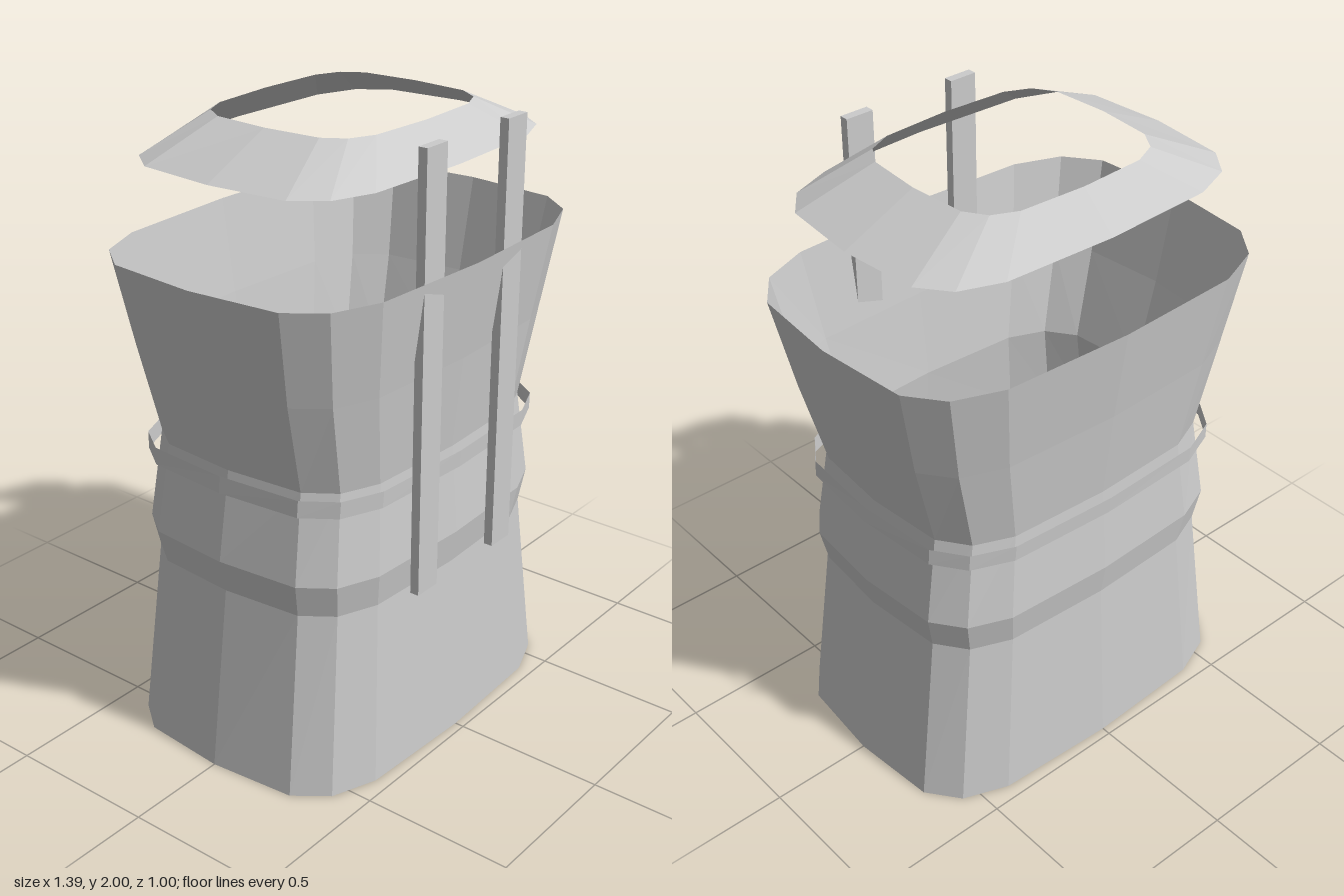
import * as THREE from 'three';

const SIDES = 16;
const material = new THREE.MeshStandardMaterial({ color: 0xcccccc, flatShading: true, side: THREE.DoubleSide });

// Rounded-rectangle (superellipse) point on a ring
function ringPoint(angle, rx, rz) {
  const c = Math.cos(angle), s = Math.sin(angle);
  return [
    rx * Math.sign(c) * Math.sqrt(Math.abs(c)),
    rz * Math.sign(s) * Math.sqrt(Math.abs(s)),
  ];
}

// Open shell through rings given as [y, rx, rz], bottom to top
function shell(name, rings) {
  const positions = [], index = [];
  for (const [y, rx, rz] of rings) {
    for (let i = 0; i < SIDES; i++) {
      const [x, z] = ringPoint((i / SIDES) * Math.PI * 2, rx, rz);
      positions.push(x, y, z);
    }
  }
  for (let r = 0; r < rings.length - 1; r++) {
    for (let i = 0; i < SIDES; i++) {
      const a = r * SIDES + i, b = r * SIDES + ((i + 1) % SIDES);
      const c = a + SIDES, d = b + SIDES;
      index.push(a, c, b, b, c, d);
    }
  }
  const geometry = new THREE.BufferGeometry();
  geometry.setAttribute('position', new THREE.Float32BufferAttribute(positions, 3));
  geometry.setIndex(index);
  geometry.computeVertexNormals();
  const mesh = new THREE.Mesh(geometry, material);
  mesh.name = name;
  return mesh;
}

export function createModel() {
  const model = new THREE.Group();
  model.name = 'garment';

  // Flared skirt, waist and chest, open at both ends
  model.add(shell('body', [
    [0, 0.66, 0.47],
    [0.6, 0.58, 0.433],
    [0.71, 0.603, 0.45],
    [1.0, 0.553, 0.425],
    [1.3, 0.632, 0.457],
    [1.61, 0.697, 0.5],
  ]));

  // Thin band around the waist
  model.add(shell('belt', [[0.94, 0.595, 0.456], [0.995, 0.592, 0.459]]));

  // Sloping collar floating above the chest
  model.add(shell('collar', [[1.89, 0.602, 0.424], [2.0, 0.36, 0.305]]));

  // Two upright straps on the front
  for (const side of [-1, 1]) {
    const strap = new THREE.Mesh(new THREE.BoxGeometry(0.096, 1.395, 0.03), material);
    strap.name = side > 0 ? 'leftStrap' : 'rightStrap';
    strap.position.set(side * 0.199, 1.3025, 0.47);
    model.add(strap);
  }

  return model;
}
